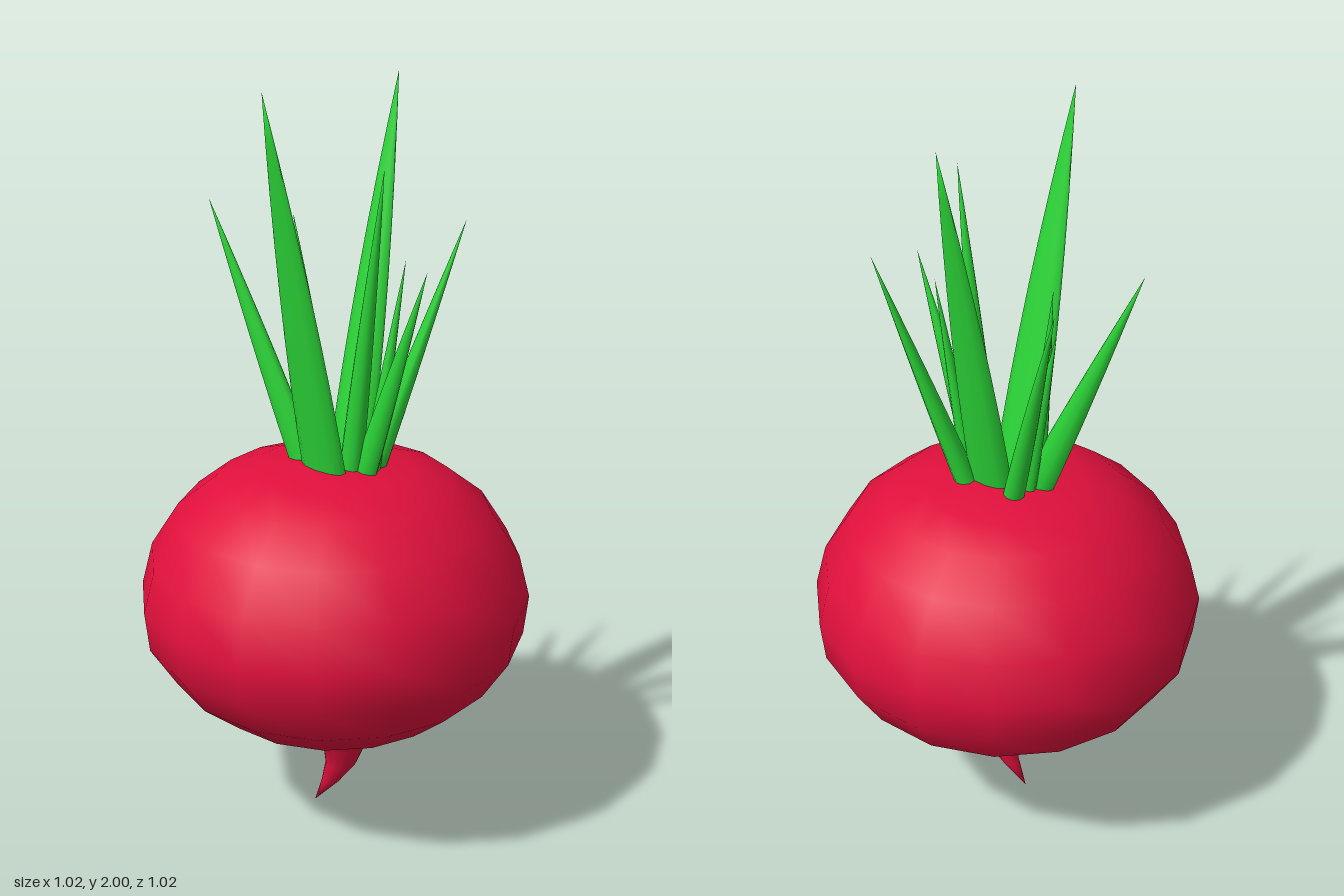
import * as THREE from 'three';
import { mergeVertices } from 'three/addons/utils/BufferGeometryUtils.js';

const red = new THREE.MeshStandardMaterial({ color: 0xe0103c });
const green = new THREE.MeshStandardMaterial({ color: 0x2bd437, side: THREE.DoubleSide });

// Weld the seam so shading runs smoothly around the form
function smooth(geometry) {
  geometry.deleteAttribute('uv');
  geometry.deleteAttribute('normal');
  const welded = mergeVertices(geometry, 1e-4);
  welded.computeVertexNormals();
  return welded;
}

// Bulb with its tail root: [radius, height, sideways shift of the ring]
function bulb() {
  const rings = [
    [0, 0, -0.06], [0.024, 0.075, -0.012], [0.042, 0.14, 0.02], [0.058, 0.2, 0.03],
    [0.085, 0.245, 0.01], [0.2, 0.295, 0], [0.32, 0.35, 0], [0.43, 0.44, 0],
    [0.5, 0.548, 0], [0.512, 0.655, 0], [0.483, 0.77, 0], [0.41, 0.885, 0],
    [0.31, 0.965, 0], [0.21, 1.0, 0], [0.08, 1.015, 0], [0, 1.015, 0],
  ];
  const geometry = new THREE.LatheGeometry(rings.map(([r, y]) => new THREE.Vector2(r, y)), 16);
  const pos = geometry.attributes.position;
  for (let i = 0; i < pos.count; i++) {
    pos.setX(i, pos.getX(i) + rings[i % rings.length][2]);
  }
  const mesh = new THREE.Mesh(smooth(geometry), red);
  mesh.name = 'bulb';
  return mesh;
}

// Flattened blade tapering from base to tip, broad side across its lean
function leaf(base, tip, width, thickness) {
  const a = new THREE.Vector3(...base);
  const b = new THREE.Vector3(...tip);
  const axis = b.clone().sub(a).normalize();
  const across = new THREE.Vector3(axis.z, 0, -axis.x).normalize();
  const out = across.clone().cross(axis);
  const geometry = new THREE.CylinderGeometry(1, 1, 1, 10, 8, true);
  const pos = geometry.attributes.position;
  const p = new THREE.Vector3();
  for (let i = 0; i < pos.count; i++) {
    const t = pos.getY(i) + 0.5;
    const wide = (1 - Math.pow(t, 1.8)) * width / 2;
    const thick = (1 - Math.pow(t, 1.3)) * thickness / 2;
    p.lerpVectors(a, b, t)
      .addScaledVector(across, pos.getX(i) * wide)
      .addScaledVector(out, pos.getZ(i) * thick);
    pos.setXYZ(i, p.x, p.y, p.z);
  }
  return new THREE.Mesh(smooth(geometry), green);
}

export function createModel() {
  const model = new THREE.Group();
  model.name = 'rootVegetable';
  model.add(bulb());

  // Leaves: base, tip, width, thickness
  const leaves = [
    [[-0.005, 0.98, 0.04], [-0.063, 2.0, 0.242], 0.145, 0.06],
    [[0.025, 0.98, -0.03], [0.052, 1.985, -0.248], 0.125, 0.06],
    [[-0.075, 0.98, 0.005], [-0.365, 1.665, -0.01], 0.05, 0.085],
    [[-0.045, 0.98, -0.06], [-0.215, 1.605, -0.182], 0.055, 0.06],
    [[0.085, 0.98, -0.045], [0.28, 1.65, -0.17], 0.07, 0.06],
    [[0.085, 0.98, 0.01], [0.28, 1.57, 0.057], 0.045, 0.07],
    [[0.05, 0.98, 0.01], [0.175, 1.815, 0.08], 0.055, 0.07],
    [[0.095, 0.98, -0.01], [0.172, 1.56, -0.05], 0.05, 0.05],
    [[-0.075, 0.98, 0.005], [-0.125, 1.57, 0.0], 0.04, 0.06],
    [[-0.06, 0.98, -0.02], [-0.162, 1.49, -0.055], 0.04, 0.06],
  ];
  const tuft = new THREE.Group();
  tuft.name = 'leafTuft';
  leaves.forEach((spec, i) => {
    const blade = leaf(...spec);
    blade.name = `leaf${i + 1}`;
    tuft.add(blade);
  });
  model.add(tuft);
  return model;
}
